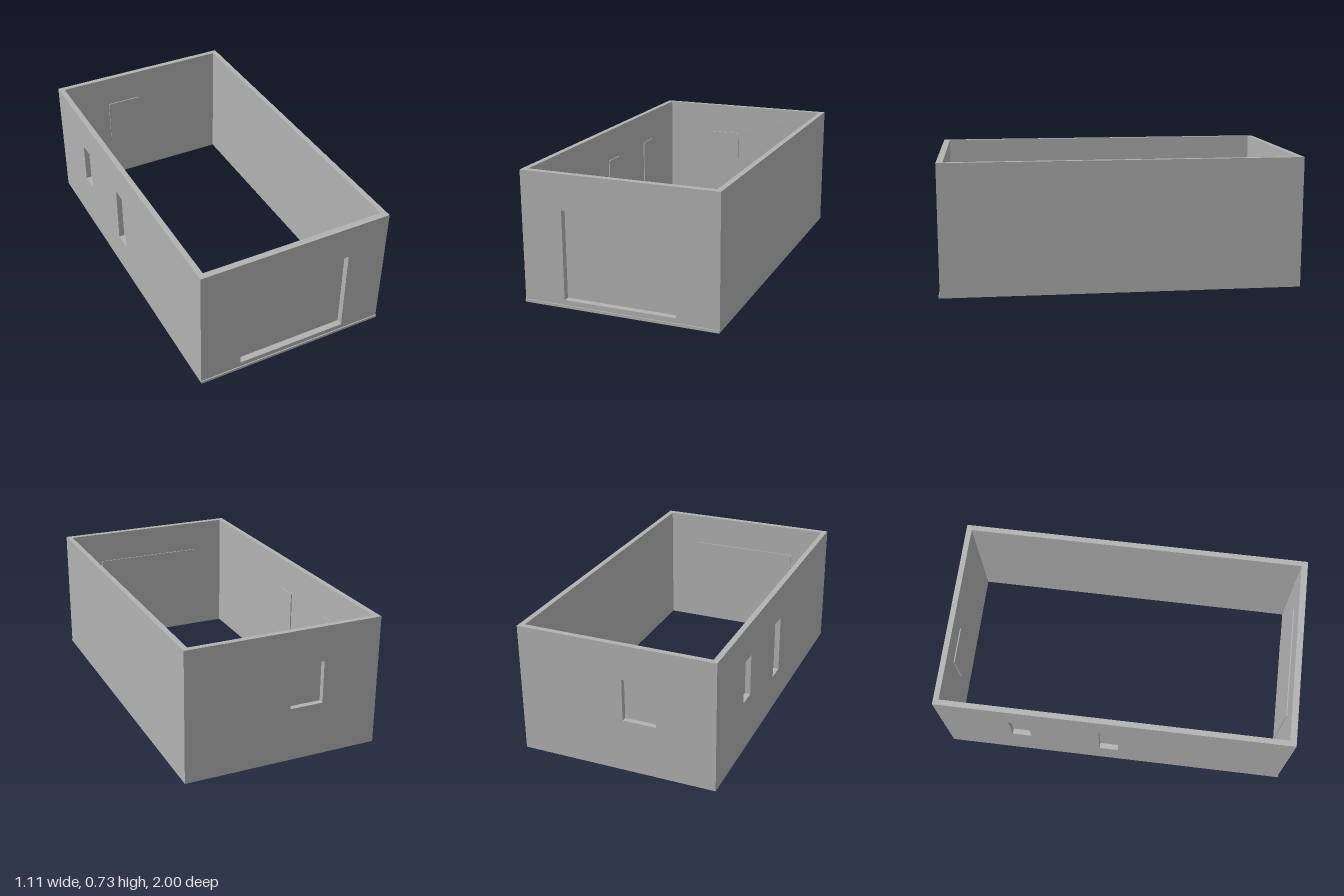
import * as THREE from 'three';

const W = 0.5525, H = 0.732;           // half width, wall height
const FRONT = 0.994, BACK = -1;        // outer wall planes
const T = 0.031, T_FRONT = 0.036;      // wall thicknesses
const PANEL = 0.006, LAP = 0.01;       // infill panel thickness and overlap

function rect(path, [x0, x1, y0, y1]) {
  path.moveTo(x0, y0).lineTo(x1, y0).lineTo(x1, y1).lineTo(x0, y1).closePath();
  return path;
}

// A wall whose outer face lies on local z = 0, with openings closed by panels on the inside
function makeWall(name, x0, x1, thickness, openings, material) {
  const wall = new THREE.Group();
  wall.name = name;
  const shape = rect(new THREE.Shape(), [x0, x1, 0, H]);
  for (const o of openings) shape.holes.push(rect(new THREE.Path(), o.bounds));
  const geometry = new THREE.ExtrudeGeometry(shape, { depth: thickness, bevelEnabled: false });
  geometry.translate(0, 0, -thickness);
  const body = new THREE.Mesh(geometry, material);
  body.name = name + 'Body';
  wall.add(body);

  for (const o of openings) {
    const [a, b, c, d] = o.bounds;
    const panel = new THREE.Mesh(
      new THREE.BoxGeometry(b - a + 2 * LAP, d - c + 2 * LAP, PANEL), material);
    panel.name = o.name;
    panel.position.set((a + b) / 2, (c + d) / 2, -thickness - PANEL / 2);
    wall.add(panel);
  }
  return wall;
}

export function createModel() {
  const model = new THREE.Group();
  model.name = 'openBuilding';
  const grey = new THREE.MeshStandardMaterial({ color: 0xb2b2b2 });
  grey.name = 'wallGrey';

  // Front wall with the wide door recess
  const front = makeWall('frontWall', -W, W, T_FRONT,
    [{ name: 'doorPanel', bounds: [-0.318, 0.318, 0.042, 0.537] }], grey);
  front.position.z = FRONT;

  // Back wall with one window (local x runs towards -x)
  const back = makeWall('backWall', -W, W, T,
    [{ name: 'backWindowPanel', bounds: [0.038, 0.226, 0.3, 0.537] }], grey);
  back.rotation.y = Math.PI;
  back.position.z = BACK;

  // Side walls fit between front and back
  const zIn = BACK + T, zOut = FRONT - T_FRONT;
  const right = makeWall('rightWall', zIn, zOut, T, [
    { name: 'shortWindowPanel', bounds: [-0.6, -0.49, 0.3, 0.537] },
    { name: 'tallWindowPanel', bounds: [-0.088, 0.022, 0.203, 0.537] },
  ], grey);
  right.rotation.y = -Math.PI / 2;
  right.position.x = -W;

  const left = makeWall('leftWall', -zOut, -zIn, T, [], grey);
  left.rotation.y = Math.PI / 2;
  left.position.x = W;

  // Thin ledge along the foot of the front wall
  const ledge = new THREE.Mesh(new THREE.BoxGeometry(2 * W, 0.015, 1 - FRONT), grey);
  ledge.name = 'frontLedge';
  ledge.position.set(0, 0.0075, (1 + FRONT) / 2);

  model.add(front, back, right, left, ledge);
  return model;
}
